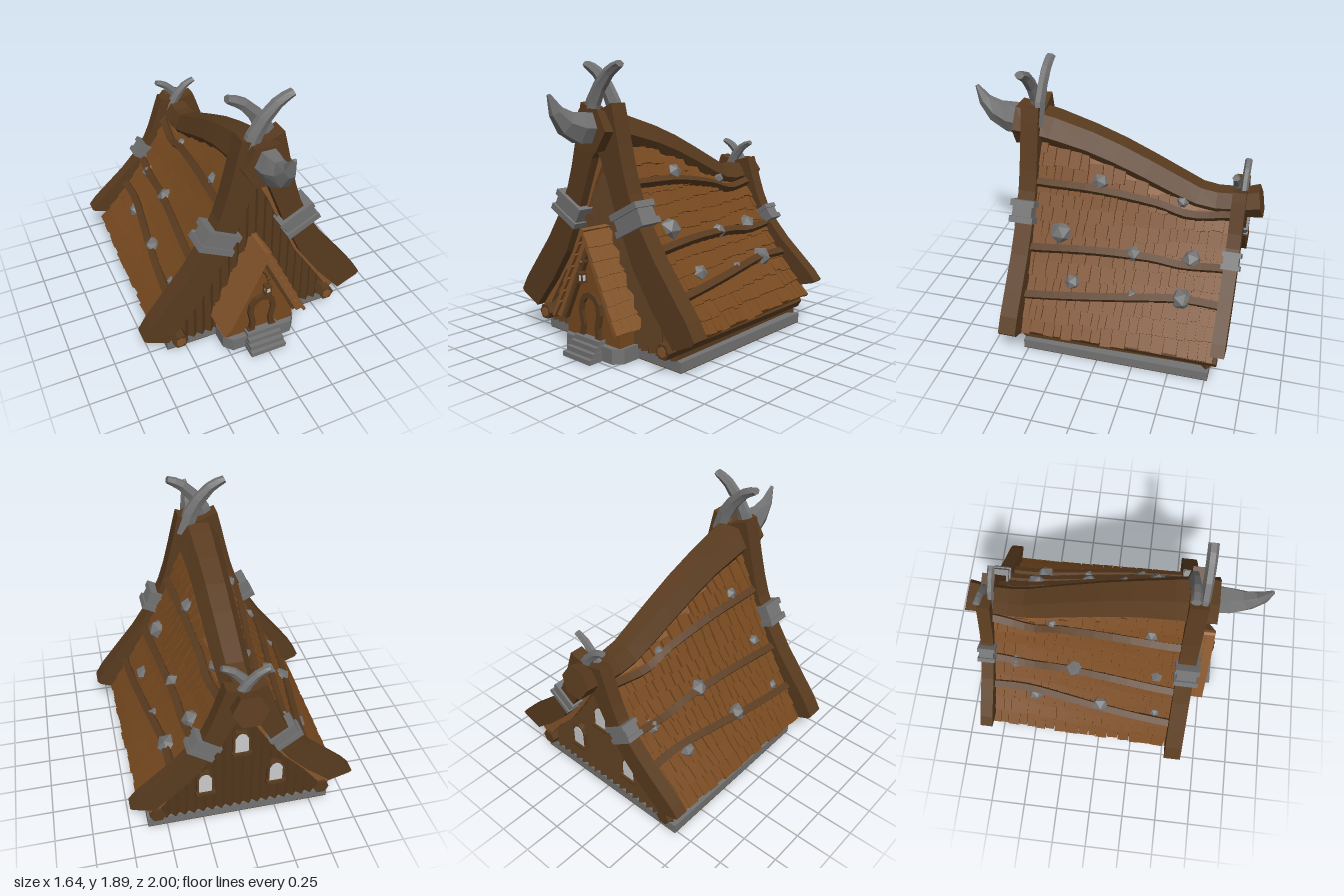
import * as THREE from 'three';
import { mergeGeometries } from 'three/addons/utils/BufferGeometryUtils.js';

const mat = (color) => new THREE.MeshStandardMaterial({ color, flatShading: true });
const DARK = mat(0x593b1f), SHINGLE = mat(0x77491f), LIGHT = mat(0x85552b);
const STONE = mat(0x737373), PANE = mat(0xcccccc);
const V = (x, y, z) => new THREE.Vector3(x, y, z);

let seed = 7;
const rnd = () => (seed = (seed * 16807) % 2147483647) / 2147483647;
const lerp = THREE.MathUtils.lerp;

// Piecewise-linear lookup in a list of [key, value], keys rising
function lookup(list, k) {
  let i = 0;
  while (i < list.length - 2 && k > list[i + 1][0]) i++;
  const [a, b] = [list[i], list[i + 1]];
  return lerp(a[1], b[1], (k - a[0]) / (b[0] - a[0]));
}

// The house shrinks from the tall front gable to the low back gable; the eaves stay level
const tall = (z) => {
  const t = Math.pow(THREE.MathUtils.clamp((z + 0.72) / 1.32, 0, 1), 0.9);
  return t * t * (3 - 2 * t);
};
const backY = (y) => (y > 0.24 ? 0.24 + (y - 0.24) * 0.66 : y);
const widthAt = (z) => lerp(0.96, 1, tall(z));
const heightAt = (y, z) => lerp(backY(y), y, tall(z));
function warp(geo) {
  const p = geo.attributes.position;
  for (let i = 0; i < p.count; i++) {
    const z = p.getZ(i);
    p.setXY(i, p.getX(i) * widthAt(z), heightAt(p.getY(i), z));
  }
  geo.computeVertexNormals();
  return geo;
}

// Roof surface, [y, x] at the front gable
const ROOF = [[0.22, 0.7], [0.35, 0.625], [0.5, 0.53], [0.7, 0.415], [0.9, 0.315], [1.1, 0.222], [1.3, 0.145], [1.5, 0.05]];
const ROOF_BY_X = ROOF.map(([y, x]) => [x, y]).reverse();
const roofX = (y, z) => {
  const k = tall(z);
  return lookup(ROOF, (y - 0.0816 * (1 - k)) / (0.66 + 0.34 * k)) * widthAt(z);
};
const roofY = (x, z) => heightAt(lookup(ROOF_BY_X, x / widthAt(z)), z);
// Inner line of the gable, [x, y]
const GABLE = [[0, 1.3], [0.1, 1.1], [0.19, 0.9], [0.33, 0.62], [0.47, 0.4], [0.62, 0.18]];

// Mirrored outline extruded from z0 to z1
function slab(half, z0, z1, steps = 1) {
  const left = half.filter((p) => p[0] > 0).map(([x, y]) => [-x, y]).reverse();
  const shape = new THREE.Shape([...half, ...left].map((p) => new THREE.Vector2(...p)));
  return new THREE.ExtrudeGeometry(shape, { depth: z1 - z0, steps, bevelEnabled: false }).translate(0, 0, z0);
}

// Faceted sweep: points, matching half sizes [w, h], side count
function sweep(pts, sizes, sides, up = V(0, 1, 0), phase = 0) {
  const rings = pts.map((p, i) => {
    const t = pts[Math.min(i + 1, pts.length - 1)].clone().sub(pts[Math.max(i - 1, 0)]).normalize();
    const s = up.clone().cross(t).normalize(), u = t.clone().cross(s);
    return Array.from({ length: sides }, (_, j) => {
      const a = phase + (j / sides) * Math.PI * 2;
      return p.clone().addScaledVector(s, Math.cos(a) * sizes[i][0]).addScaledVector(u, Math.sin(a) * sizes[i][1]);
    });
  });
  const out = [], tri = (...v) => v.forEach((q) => out.push(q.x, q.y, q.z));
  const last = rings.length - 1;
  for (let j = 0; j < sides; j++) {
    const n = (j + 1) % sides;
    for (let i = 0; i < last; i++) {
      const [a, b, c, d] = [rings[i][j], rings[i][n], rings[i + 1][n], rings[i + 1][j]];
      tri(a, b, c); tri(a, c, d);
    }
    tri(pts[0], rings[0][n], rings[0][j]);
    tri(pts[last], rings[last][j], rings[last][n]);
  }
  const g = new THREE.BufferGeometry();
  g.setAttribute('position', new THREE.Float32BufferAttribute(out, 3));
  g.computeVertexNormals();
  return g;
}

export function createModel() {
  const root = new THREE.Group();
  const add = (name, geo, m, parent = root) => {
    const mesh = new THREE.Mesh(geo, m);
    mesh.name = name;
    parent.add(mesh);
  };
  const box = (name, w, h, d, x, y, z, m, parent) => add(name, new THREE.BoxGeometry(w, h, d).translate(x, y, z), m, parent);

  // Stone base, porch base and steps
  box('floorUnderside', 1.26, 0.004, 1.3, 0, 0.002, -0.12, DARK);
  box('stoneBase', 1.26, 0.066, 1.3, 0, 0.037, -0.12, STONE);
  add('porchBase', slab([[0.27, -0.5], [0.27, -0.66], [0.22, -0.72]], 0, 0.1).rotateX(-Math.PI / 2), STONE);
  for (let i = 0; i < 4; i++) {
    const front = 0.83 - i * 0.03;
    box('step', 0.26 - i * 0.008, 0.032 * (i + 1), front - 0.64, 0, 0.016 * (i + 1), (front + 0.64) / 2, STONE);
  }

  // House body and ridged gable planks
  add('houseBody', warp(slab([...GABLE.slice(0, 5), [0.59, 0.23], [0.59, 0.01]], -0.745, 0.52, 12)), DARK);
  for (const z of [0.525, -0.75]) {
    const planks = [];
    for (let i = -9; i <= 9; i++) {
      const x = i * 0.063, top = heightAt(lookup(GABLE, Math.abs(x) / widthAt(z)), z) + 0.02;
      planks.push(new THREE.CylinderGeometry(0.0315, 0.0315, top - 0.07, 4).translate(x, (top + 0.07) / 2, z));
    }
    add('gablePlanks', mergeGeometries(planks), DARK);
  }

  // Roof slab under the shingles
  const under = [[0.61, 0.14], [0.445, 0.4], [0.3, 0.62], [0.16, 0.92], [0.085, 1.1], [0, 1.26]];
  const over = ROOF.map(([y, x]) => [x - 0.012, y]).reverse();
  add('roofSlab', warp(slab([[0, 1.51], ...over, ...under], -0.8, 0.57, 16)), LIGHT);

  // Shingle rows, battens and sill logs on both sides
  const BATTENS = [[1.13, 1.11, 1.04, 0.98, 1.0], [0.72, 0.74, 0.72, 0.69, 0.7], [0.44, 0.47, 0.5, 0.51, 0.5]];
  const BATTEN_Z = [0.55, 0.12, -0.3, -0.52, -0.82];
  for (const s of [1, -1]) {
    const shingles = [];
    for (let y = 0.285; y < 1.4; y += 0.085) {
      for (let z = -0.8; z < 0.5;) {
        const w = 0.045 + rnd() * 0.055, zc = z + w / 2, len = 0.11 + rnd() * 0.04;
        z += w;
        if (y > heightAt(1.4, zc)) continue;
        const tilt = Math.atan2(roofX(y - 0.03, zc) - roofX(y + 0.03, zc), 0.06) + 0.12;
        shingles.push(new THREE.BoxGeometry(0.022, len, w - 0.004).rotateX((rnd() - 0.5) * 0.12)
          .rotateZ(s * tilt).translate(s * (roofX(y, zc) + 0.008), y - len * 0.15, zc));
      }
    }
    add('roofShingles', mergeGeometries(shingles), SHINGLE);

    for (const ys of BATTENS) {
      const curve = new THREE.CatmullRomCurve3(BATTEN_Z.map((z, i) => V(0, ys[i], z)));
      const pts = curve.getPoints(14).map((p) => V(s * (roofX(p.y, p.z) + 0.018), p.y, p.z));
      add('roofBatten', sweep(pts, pts.map(() => [0.036, 0.034]), 4, V(0, 1, 0), Math.PI / 4 + s * 0.6), DARK);
    }

    add('sillLog', sweep([V(s * 0.565, 0.15, -0.82), V(s * 0.565, 0.15, 0.63)], [[0.055, 0.055], [0.055, 0.055]], 6), DARK);
    add('sillLogEnd', new THREE.CylinderGeometry(0.035, 0.035, 0.01, 6, 1).rotateX(Math.PI / 2).translate(s * 0.565, 0.15, 0.63), LIGHT);
  }

  // Curved bargeboards at both gables
  const board = [[0, 1.57], [0.14, 1.63], [0.165, 1.53], [0.2, 1.38], [0.24, 1.22], [0.285, 1.08], [0.37, 0.9], [0.5, 0.7],
    [0.65, 0.51], [0.76, 0.37], [0.82, 0.27], [0.8, 0.245], [0.65, 0.18], [0.57, 0.28], [0.47, 0.4], [0.32, 0.62], [0.18, 0.92], [0.1, 1.13], [0.04, 1.28], [0, 1.33]];
  add('frontBargeboard', slab(board, 0.51, 0.63), DARK);
  add('backBargeboard', slab(board, -0.875, -0.785).scale(0.91, 0.63, 1).translate(0, 0.157, 0), DARK);

  // Sagging ridge beam, z, y, half width, half height
  const ridge = [[0.7, 1.46, 0.16, 0.155], [0.6, 1.455, 0.16, 0.14], [0.45, 1.425, 0.15, 0.14], [0.2, 1.36, 0.135, 0.13],
    [0, 1.29, 0.13, 0.125], [-0.2, 1.205, 0.125, 0.12], [-0.4, 1.115, 0.12, 0.115], [-0.55, 1.055, 0.115, 0.105],
    [-0.68, 1.035, 0.11, 0.105], [-0.86, 1.05, 0.105, 0.1], [-0.97, 1.075, 0.115, 0.11]];
  add('ridgeBeam', sweep(ridge.map(([z, y]) => V(0, y, z)), ridge.map((r) => [r[2], r[3]]), 6), DARK);

  // Horn at the front of the ridge and crossed horns over both gables
  add('prowHorn', sweep([V(0, 1.475, 0.66), V(0, 1.48, 0.77), V(0, 1.515, 0.87), V(0, 1.585, 0.945), V(0, 1.685, 0.995)],
    [[0.095, 0.11], [0.085, 0.11], [0.06, 0.085], [0.038, 0.05], [0.012, 0.012]], 6), STONE);
  const horn = [[-0.1, 1.48, 0.065], [-0.05, 1.63, 0.06], [0.01, 1.73, 0.05], [0.09, 1.815, 0.04], [0.14, 1.845, 0.034], [0.19, 1.867, 0.024]];
  for (const s of [1, -1]) {
    for (const [z, size, top] of [[0.565 + s * 0.037, 1, 1.89], [-0.825 + s * 0.026, 0.72, 1.31]]) {
      const pts = horn.map(([x, y]) => V(s * x * size * 1.02, top - (1.89 - y) * size, z));
      add('crossedHorn', sweep(pts, horn.map((h) => [h[2] * size, 0.034 * size]), 6, V(0, 0, 1), Math.PI / 6), STONE);
    }
    // Stone clamps around the bargeboards
    for (const [x, y, z, turn, size, depth] of [[0.285, 0.925, 0.575, 0.48, 1, 1], [0.262, 0.74, -0.83, 0.62, 0.76, 0.74]]) {
      const clamp = new THREE.Group();
      clamp.name = 'boardClamp';
      box('clampCore', 0.23, 0.14, 0.135, 0, 0, 0, STONE, clamp);
      for (const e of [1, -1]) box('clampFlange', 0.255, 0.042, 0.165, 0, e * 0.056, 0, STONE, clamp);
      clamp.position.set(s * x, y, z);
      clamp.rotation.z = s * turn;
      clamp.scale.set(size, size, depth);
      root.add(clamp);
    }
  }

  // Faceted stone studs on the roof: x, z, radius
  for (const [x, z, r] of [[0.16, 0.09, 0.06], [0.1, -0.46, 0.045], [0.34, 0.32, 0.08], [0.33, -0.18, 0.06], [0.28, -0.57, 0.07],
    [0.49, 0.2, 0.057], [0.48, -0.21, 0.042], [0.44, -0.54, 0.075], [-0.31, -0.63, 0.055], [-0.48, -0.48, 0.057], [-0.13, -0.37, 0.038],
    [-0.33, -0.2, 0.067], [-0.51, 0, 0.067], [-0.18, 0.31, 0.047], [-0.35, 0.38, 0.047], [-0.53, 0.4, 0.037]]) {
    add('roofStud', new THREE.IcosahedronGeometry(r, 0).rotateY(x * 9).translate(x, roofY(Math.abs(x), z), z), STONE);
  }

  // Porch: wall, gable trim and stepped shingle roof
  add('porchWall', slab([[0, 0.78], [0.25, 0.24], [0.25, 0.09]], 0.45, 0.68), SHINGLE);
  add('porchRoof', slab([[0, 0.83], [0.29, 0.22], [0.25, 0.21], [0, 0.73]], 0.45, 0.74), LIGHT);
  add('porchTrim', slab([[0, 0.745], [0.26, 0.21], [0.235, 0.2], [0, 0.69]], 0.68, 0.715), DARK);
  for (const s of [1, -1]) {
    const rows = [];
    for (let i = 0; i < 7; i++) {
      const f = (i + 0.5) / 7;
      for (let j = 0; j < 4; j++) {
        rows.push(new THREE.BoxGeometry(0.022, 0.125 + rnd() * 0.02, 0.066).rotateZ(s * 0.55)
          .translate(s * (0.005 + f * 0.285), 0.83 - f * 0.6, 0.53 + j * 0.067));
      }
    }
    add('porchShingles', mergeGeometries(rows), LIGHT);
  }

  // Door with horseshoe frame
  const frame = [[-0.075, 0.12], [-0.066, 0.2], [-0.085, 0.29], [-0.075, 0.35], [-0.045, 0.39], [0, 0.405]];
  const arch = [...frame, ...frame.slice(0, 5).reverse().map(([x, y]) => [-x, y])];
  add('doorFrame', sweep(arch.map(([x, y]) => V(x, y, 0.69)), arch.map(() => [0.026, 0.03]), 4, V(0, 0, 1), Math.PI / 4), DARK);
  add('door', slab([[0, 0.4], [0.045, 0.385], [0.08, 0.32], [0.066, 0.2], [0.07, 0.1]], 0.67, 0.69), SHINGLE);
  for (const s of [1, -1]) box('doorFoot', 0.05, 0.03, 0.04, s * 0.08, 0.125, 0.695, DARK);

  // Hanging lantern
  box('lanternArm', 0.014, 0.014, 0.09, 0, 0.635, 0.735, DARK);
  add('lanternKnob', new THREE.IcosahedronGeometry(0.015, 0).translate(0, 0.635, 0.775), DARK);
  box('lanternChain', 0.006, 0.07, 0.006, 0, 0.6, 0.765, DARK);
  box('lanternGlass', 0.03, 0.045, 0.03, 0, 0.535, 0.765, PANE);
  for (const y of [0.508, 0.563]) box('lanternPlate', 0.046, 0.014, 0.046, 0, y, 0.765, DARK);
  for (const x of [-0.018, 0.018]) for (const z of [-0.018, 0.018]) box('lanternPost', 0.008, 0.05, 0.008, x, 0.535, 0.765 + z, DARK);

  // Arched windows in the back gable
  const pane = (w, h) => [[0, h], [w * 0.6, h - w * 0.3], [w, h - w], [w, -0.075]];
  for (const [x, y] of [[0, 0.66], [0.24, 0.35], [-0.24, 0.35]]) {
    add('windowFrame', slab(pane(0.058, 0.1), -0.795, -0.75).translate(x, y, 0), DARK);
    add('windowPane', slab(pane(0.044, 0.085), -0.8, -0.77).translate(x, y, 0), PANE);
    box('windowSill', 0.13, 0.022, 0.06, x, y - 0.08, -0.785, DARK);
  }
  return root;
}
